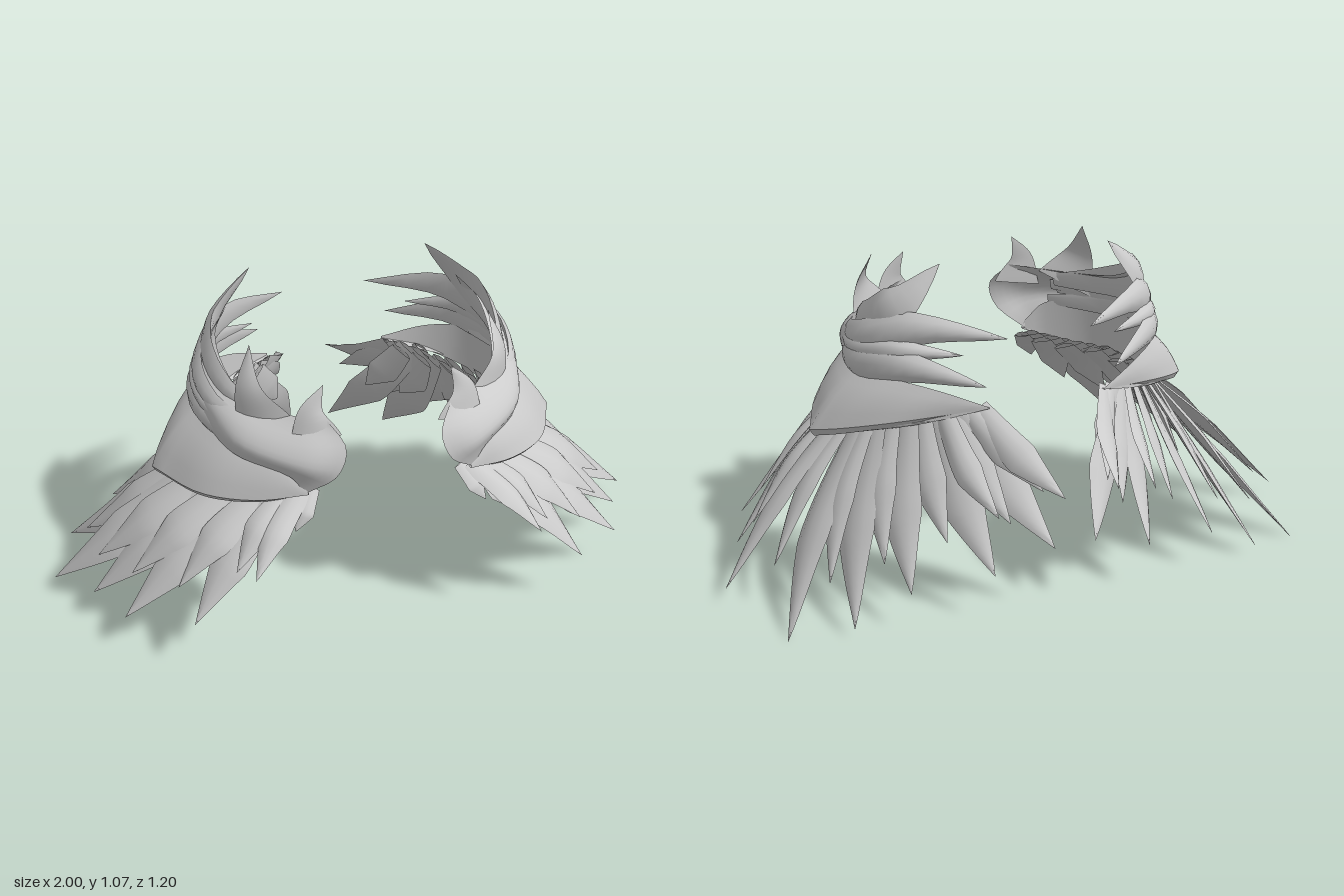
import * as THREE from 'three';
import { toCreasedNormals } from 'three/addons/utils/BufferGeometryUtils.js';

const V = (x, y, z) => new THREE.Vector3(x, y, z);
const curve = (pts) => new THREE.CatmullRomCurve3(pts.map((p) => V(...p)), false, 'centripetal');
const material = new THREE.MeshStandardMaterial({ color: 0xcccccc, side: THREE.DoubleSide });

// Skin a list of equal-length cross-sections
function loft(name, rows, closed = false, crease = 0.7) {
  const n = rows[0].length, index = [];
  for (let i = 0; i < rows.length - 1; i++) {
    for (let j = 0; j < (closed ? n : n - 1); j++) {
      const k = (j + 1) % n;
      const a = i * n + j, b = a + n, c = (i + 1) * n + k, d = i * n + k;
      index.push(a, b, c, a, c, d);
    }
  }
  const geo = new THREE.BufferGeometry().setFromPoints(rows.flat());
  geo.setIndex(index);
  const mesh = new THREE.Mesh(toCreasedNormals(geo, crease), material);
  mesh.name = name;
  return mesh;
}

// Tapered, domed blade along a path; its face looks away from the axis at x = centreX
function blade(name, pts, width, thick, up, centreX, profile) {
  const path = curve(pts), steps = 16, rows = [];
  for (let i = 0; i <= steps; i++) {
    const u = i / steps, p = path.getPoint(u), t = path.getTangent(u);
    const out = V(p.x - centreX, 0, p.z - 0.05).normalize();
    out.y = up;
    const w = out.cross(t).normalize();
    const n = t.clone().cross(w).normalize();
    const k = profile(u), h = width * k, d = thick * Math.min(1, k + 0.05);
    rows.push([[-1, 0], [-0.55, 0.75], [0, 1], [0.55, 0.75], [1, 0], [0.5, -0.25], [-0.5, -0.25]]
      .map(([a, b]) => p.clone().addScaledVector(w, a * h).addScaledVector(n, b * d)));
  }
  return loft(name, rows, true);
}

const featherShape = (u) => (u < 0.55 ? 0.7 + 0.55 * u : Math.pow((1 - u) / 0.45, 0.95));
const lockShape = (u) => (u < 0.7 ? 0.3 + 0.7 * Math.sin(u / 0.7 * Math.PI / 2) : Math.pow((1 - u) / 0.3, 0.85));
const spikeShape = (u) => 1 - u;

// Root, tip and half width of each main feather, from front to back
const feathers = [
  [[0.27, 0.59, 0.43], [0.46, 0.40, 0.60], 0.05],
  [[0.33, 0.57, 0.40], [0.64, 0.21, 0.52], 0.07],
  [[0.39, 0.56, 0.34], [0.83, 0.15, 0.35], 0.08],
  [[0.46, 0.56, 0.26], [0.90, 0.13, 0.17], 0.085],
  [[0.50, 0.55, 0.16], [1.00, 0.07, -0.02], 0.09],
  [[0.50, 0.55, 0.05], [0.90, 0.01, -0.33], 0.09],
  [[0.48, 0.57, -0.03], [0.71, 0.05, -0.41], 0.085],
  [[0.41, 0.59, -0.11], [0.53, 0.14, -0.43], 0.08],
  [[0.34, 0.60, -0.17], [0.27, 0.17, -0.48], 0.075],
  [[0.28, 0.62, -0.21], [0.07, 0.23, -0.49], 0.07],
  [[0.22, 0.63, -0.24], [0.09, 0.45, -0.60], 0.055],
];

function feather(name, root, tip, width, lift) {
  const a = V(...root), b = V(...tip), mid = a.clone().lerp(b, 0.5);
  const out = V(mid.x - 0.15, 0, mid.z - 0.05).normalize();
  mid.addScaledVector(out, 0.015);
  mid.y += lift - 0.06 * Math.max(0, a.z - b.z);
  mid.z += (a.z - b.z) * 0.13;
  return blade(name, [root, mid.toArray(), tip], width, 0.018, 0.3, -0.05, featherShape);
}

function buildFeathers(group) {
  feathers.forEach(([root, tip, w], i) => {
    group.add(feather('longFeather', root, tip, w, 0.01));
    if (i === feathers.length - 1) return;
    // Shorter covering feather between this one and the next
    const [root2, tip2, w2] = feathers[i + 1];
    const r = V(...root).lerp(V(...root2), 0.5);
    const t = V(...tip).lerp(V(...tip2), 0.5).lerp(r, 0.18);
    t.y += 0.04;
    group.add(feather('shortFeather', r.toArray(), t.toArray(), (w + w2) * 0.42, 0.02));
    // Small feather lining the inside of the fan
    const r2 = V(...root).add(V(-0.03, 0, 0));
    const t2 = r2.clone().lerp(V(...tip), 0.4).add(V(-0.02, -0.03, 0));
    group.add(feather('liningFeather', r2.toArray(), t2.toArray(), w * 0.8, 0));
  });
  group.add(feather('shortFeather', [0.32, 0.62, -0.2], [0.27, 0.38, -0.51], 0.05, 0));
}

function buildPlate(group) {
  const top = curve([[0.27, 0.63, 0.47], [0.33, 0.70, 0.43], [0.45, 0.71, 0.30], [0.50, 0.71, 0.15],
    [0.50, 0.72, 0], [0.45, 0.73, -0.13], [0.34, 0.705, -0.22], [0.20, 0.65, -0.28]]);
  // Lower edge: two sweeps meeting at a point on the outside
  const lowFront = curve([[0.26, 0.60, 0.48], [0.41, 0.575, 0.43], [0.56, 0.55, 0.31], [0.67, 0.52, 0.08]]);
  const lowBack = curve([[0.67, 0.52, 0.08], [0.61, 0.555, -0.03], [0.47, 0.60, -0.16], [0.20, 0.645, -0.28]]);
  const face = [], rim = [], steps = 28;
  for (let i = 0; i <= steps; i++) {
    const u = i / steps;
    const a = u < 0.5 ? lowFront.getPoint(u * 2) : lowBack.getPoint(u * 2 - 1);
    const b = top.getPoint(u);
    const out = V(a.x - 0.15, 0.6, a.z - 0.05).normalize();
    const ends = Math.sqrt(Math.sin(Math.PI * Math.min(u, 0.9999)));
    face.push([0, 0.25, 0.5, 0.75, 1].map((v) =>
      a.clone().lerp(b, v).addScaledVector(out, 0.014 * ends * Math.sin(Math.PI * v))));
    const inner = a.clone().addScaledVector(V(out.x, 0, out.z).normalize(), -0.015);
    inner.y -= 0.022 * ends;
    // Underside and inner wall close the plate back up to its top edge
    const deep = inner.clone().lerp(b, 0.9);
    deep.y = inner.y + 0.02 * ends;
    rim.push([b, deep, inner, a]);
  }
  group.add(loft('shoulderPlate', face), loft('plateUnderside', rim, false, 0.4));
}

function buildCollar(group) {
  // Curved shell: stations front to back, each from bottom to top
  const stations = [
    [[0.27, 0.60, 0.47], [0.18, 0.68, 0.52], [0.15, 0.77, 0.51], [0.20, 0.85, 0.45]],
    [[0.31, 0.66, 0.46], [0.28, 0.71, 0.50], [0.27, 0.77, 0.48], [0.28, 0.84, 0.40]],
    [[0.45, 0.69, 0.34], [0.45, 0.74, 0.36], [0.43, 0.79, 0.34], [0.38, 0.84, 0.29]],
    [[0.50, 0.70, 0.18], [0.51, 0.76, 0.18], [0.50, 0.81, 0.17], [0.43, 0.87, 0.14]],
    [[0.51, 0.71, 0.03], [0.52, 0.77, 0.02], [0.50, 0.85, 0.01], [0.43, 0.93, 0]],
    [[0.45, 0.72, -0.11], [0.45, 0.77, -0.11], [0.44, 0.85, -0.09], [0.38, 0.98, -0.06]],
  ];
  const rails = [0, 1, 2, 3].map((j) => curve(stations.map((s) => s[j])));
  const rows = [];
  for (let i = 0; i <= 24; i++) {
    const section = new THREE.CatmullRomCurve3(rails.map((r) => r.getPoint(i / 24)));
    rows.push(section.getPoints(10));
  }
  group.add(loft('collarShell', rows));

  // Swept locks that rise out of the shell and end in points at the back
  const locks = [
    [[[0.33, 0.80, 0.37], [0.44, 0.83, 0.20], [0.46, 0.88, 0.03], [0.41, 0.95, -0.07], [0.29, 1.08, -0.11]], 0.075],
    [[[0.34, 0.77, 0.41], [0.48, 0.79, 0.20], [0.49, 0.83, 0.02], [0.38, 0.89, -0.14], [0.14, 0.87, -0.29]], 0.06],
    [[[0.36, 0.75, 0.40], [0.49, 0.77, 0.19], [0.50, 0.79, 0.02], [0.42, 0.82, -0.13], [0.26, 0.81, -0.22]], 0.04],
    [[[0.34, 0.71, 0.43], [0.49, 0.73, 0.20], [0.51, 0.75, 0.02], [0.42, 0.775, -0.15], [0.22, 0.73, -0.31]], 0.06],
  ];
  for (const [pts, w] of locks) group.add(blade('collarLock', pts, w, 0.025, 0.1, 0.15, lockShape));

  // Upright spikes on the front of the collar
  group.add(blade('collarSpike', [[0.23, 0.78, 0.45], [0.24, 0.87, 0.44], [0.20, 0.955, 0.43]], 0.08, 0.014, 0, 0.15, spikeShape));
  group.add(blade('collarSpike', [[0.36, 0.79, 0.34], [0.40, 0.90, 0.31], [0.38, 1.02, 0.25]], 0.10, 0.014, 0, 0.15, spikeShape));
}

export function createModel() {
  const model = new THREE.Group();
  model.name = 'featheredShoulderGuards';
  for (const side of [1, -1]) {
    const guard = new THREE.Group();
    guard.name = side > 0 ? 'leftGuard' : 'rightGuard';
    buildFeathers(guard);
    buildPlate(guard);
    buildCollar(guard);
    guard.scale.x = side;
    model.add(guard);
  }
  return model;
}
